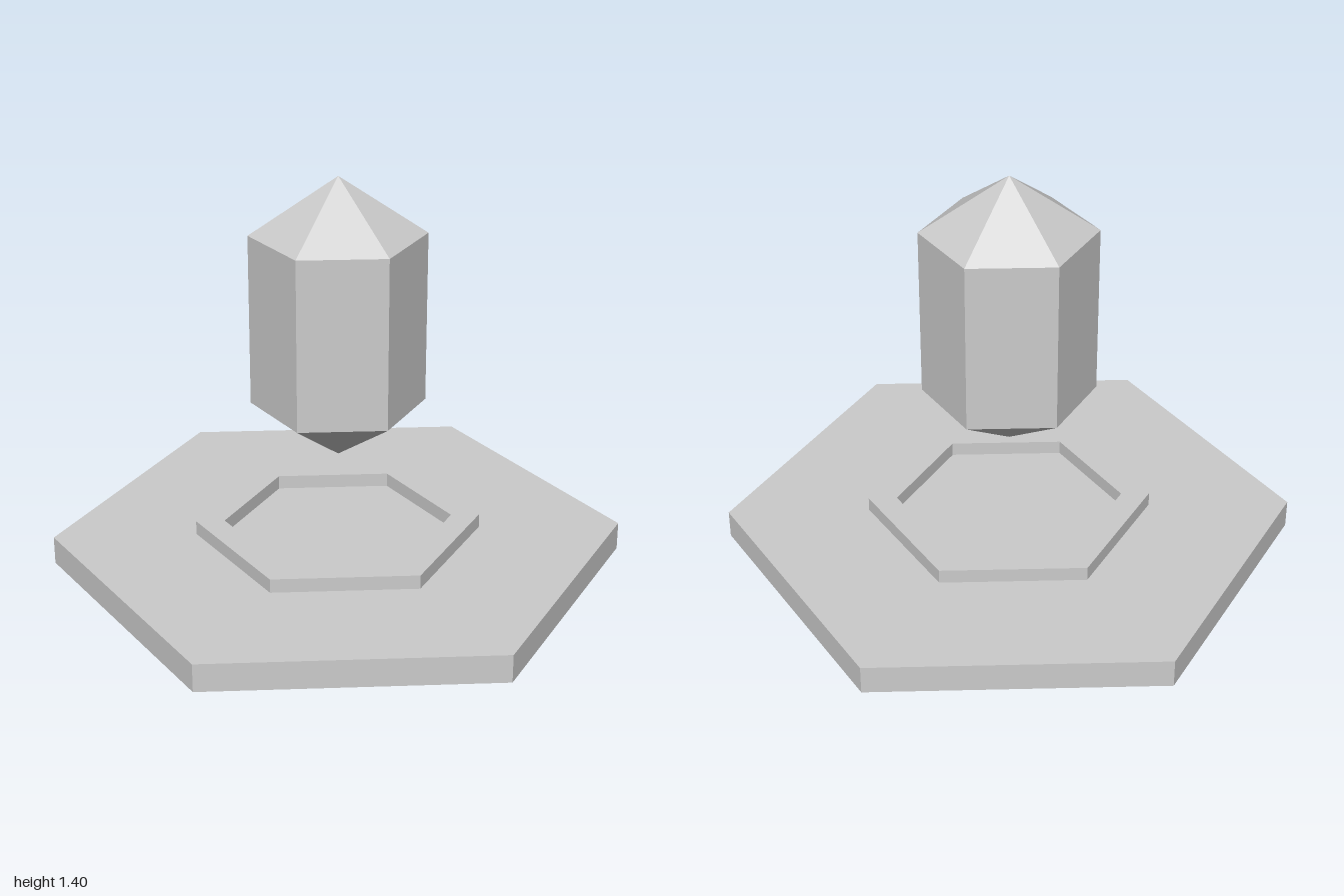
import * as THREE from 'three';

const SIDES = 6;
const material = new THREE.MeshStandardMaterial({ color: 0xcccccc, flatShading: true });

// Hexagonal solid turned from a [radius, height] profile, corners on the z axis
function hexLathe(name, profile) {
  const points = profile.map(([r, y]) => new THREE.Vector2(r, y));
  const geometry = new THREE.LatheGeometry(points, SIDES).toNonIndexed();
  geometry.computeVertexNormals();
  const mesh = new THREE.Mesh(geometry, material);
  mesh.name = name;
  return mesh;
}

export function createModel() {
  const model = new THREE.Group();
  model.name = 'floatingCrystal';

  // Flat slab standing on the ground
  const base = new THREE.Mesh(new THREE.CylinderGeometry(1, 1, 0.1, SIDES), material);
  base.name = 'base';
  base.position.y = 0.05;
  model.add(base);

  // Raised rim on the slab, open in the middle
  model.add(hexLathe('rim', [[0.5, 0.1], [0.5, 0.15], [0.4, 0.15], [0.4, 0.1]]));

  // Crystal hovering above, pointed at both ends
  model.add(hexLathe('crystal', [[0, 0.4], [0.3, 0.6], [0.3, 1.2], [0, 1.4]]));

  return model;
}
